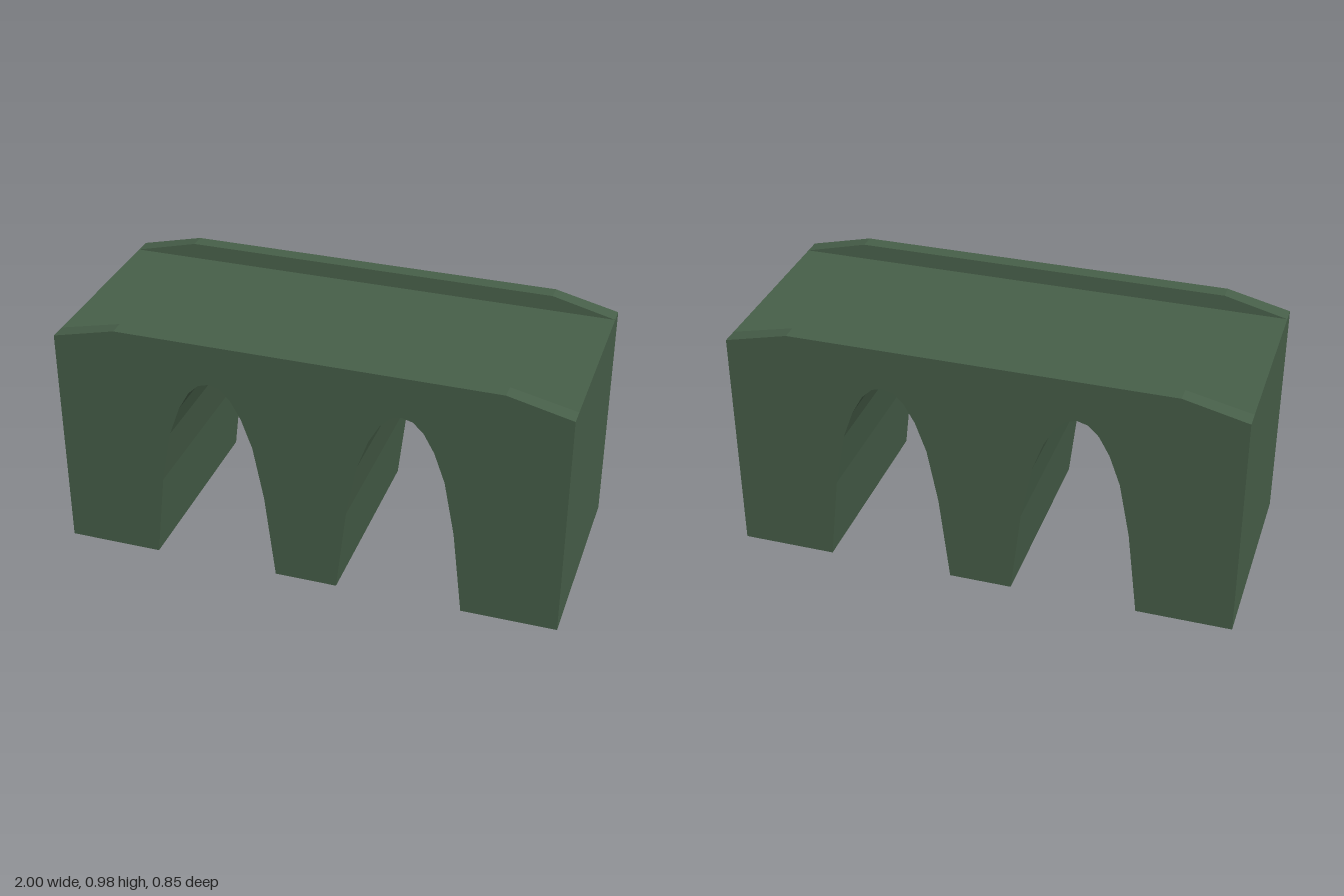
import * as THREE from 'three';

const HALF_DEPTH = 0.427, DECK = 0.92, RAIL_TOP = 0.98, RAIL_IN = 0.36;

// Half of an arch opening: offset from its centre line, height
const ARCH = [[0.25, 0], [0.21, 0.35], [0.168, 0.57], [0.125, 0.69], [0.083, 0.765], [0.042, 0.805], [0, 0.817]];

function extrude(points, z, depth) {
  const shape = new THREE.Shape(points.map(([x, y]) => new THREE.Vector2(x, y)));
  const geometry = new THREE.ExtrudeGeometry(shape, { depth, bevelEnabled: false });
  return geometry.translate(0, 0, z);
}

export function createModel() {
  const stone = new THREE.MeshStandardMaterial({ color: 0x48604a, flatShading: true });
  stone.name = 'mossy green';
  const bridge = new THREE.Group();
  bridge.name = 'archBridge';

  function add(name, geometry) {
    const mesh = new THREE.Mesh(geometry, stone);
    mesh.name = name;
    bridge.add(mesh);
  }

  // Solid body with two arches cut up from the ground
  const outline = [[-1, DECK], [-1, 0]];
  for (const cx of [-0.375, 0.375]) {
    outline.push(...ARCH.map(([x, y]) => [cx - x, y]));
    outline.push(...ARCH.slice(0, -1).reverse().map(([x, y]) => [cx + x, y]));
  }
  outline.push([1, 0], [1, DECK]);
  add('bridgeBody', extrude(outline, -HALF_DEPTH, 2 * HALF_DEPTH));

  // Low parapets tapering to the deck at both ends, inner face leaning outward
  const rail = [[-1, DECK], [1, DECK], [0.75, RAIL_TOP], [-0.75, RAIL_TOP]];
  for (const side of [1, -1]) {
    const start = side > 0 ? RAIL_IN : -HALF_DEPTH;
    const geometry = extrude(rail, start, HALF_DEPTH - RAIL_IN);
    const p = geometry.attributes.position;
    for (let i = 0; i < p.count; i++) {
      if (p.getY(i) > DECK + 0.01 && Math.abs(p.getZ(i)) < RAIL_IN + 0.01) p.setZ(i, side * (RAIL_IN + 0.006));
    }
    geometry.computeVertexNormals();
    add(side > 0 ? 'frontParapet' : 'backParapet', geometry);
  }
  return bridge;
}
